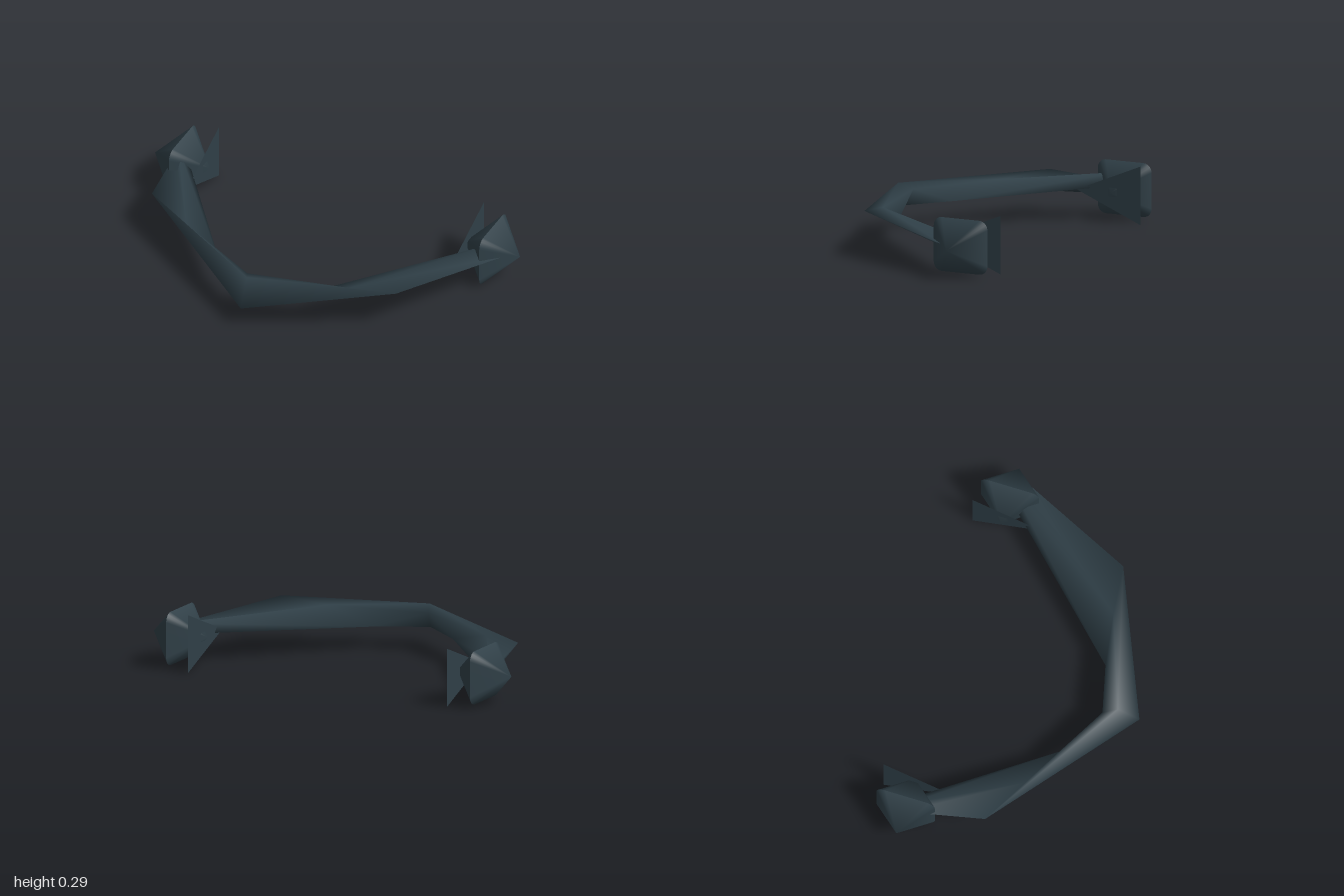
import * as THREE from 'three';

const darkSlate = new THREE.MeshStandardMaterial({ color: 0x2f3f47, side: THREE.DoubleSide });
darkSlate.name = 'darkSlate';

function makeMesh(name, positions, indices) {
  const g = new THREE.BufferGeometry();
  g.setAttribute('position', new THREE.Float32BufferAttribute(positions, 3));
  g.setIndex(indices);
  g.computeVertexNormals();
  const mesh = new THREE.Mesh(g, darkSlate);
  mesh.name = name;
  return mesh;
}

// Twisting blade-like bar: each section lists outer, top, inner and bottom corners
function makeBar() {
  const sections = [
    [[-0.89, 0.17, -0.4], [-0.86, 0.228, -0.38], [-0.82, 0.17, -0.4], [-0.86, 0.115, -0.38]],
    [[-0.82, 0.215, 0], [-0.57, 0.195, 0.13], [-0.31, 0.115, 0.27], [-0.57, 0.15, 0.14]],
    [[-0.06, 0.115, 0.555], [-0.08, 0.23, 0.45], [-0.11, 0.2, 0.38], [-0.09, 0.115, 0.44]],
    [[0.64, 0.23, 0.25], [0.4, 0.205, 0.275], [0.16, 0.115, 0.31], [0.4, 0.155, 0.285]],
    [[0.95, 0.165, -0.37], [0.88, 0.2, -0.4], [0.84, 0.15, -0.4], [0.88, 0.12, -0.4]],
  ];
  const n = 4, idx = [];
  for (let i = 0; i < sections.length - 1; i++) {
    for (let k = 0; k < n; k++) {
      const a = i * n + k, d = i * n + (k + 1) % n, b = a + n, c = d + n;
      if (i < 2) idx.push(a, b, c, a, c, d);
      else idx.push(a, b, d, b, c, d);
    }
  }
  // End caps, hidden inside the end knobs
  const e = (sections.length - 1) * n;
  idx.push(0, 1, 2, 0, 2, 3, e, e + 2, e + 1, e, e + 3, e + 2);
  return makeMesh('twistedBar', sections.flat(2), idx);
}

// Half of an end knob: a pyramid along x on a rounded square
function makeKnobHalf(dir) {
  const hy = 0.135, hz = 0.15, r = 0.045, steps = 5;
  const pos = [dir * 0.15, 0, 0], idx = [];
  for (let q = 0; q < 4; q++) {
    const sy = q === 0 || q === 3 ? 1 : -1, sz = q > 1 ? -1 : 1;
    for (let j = 0; j <= steps; j++) {
      // Runs from the +y side towards +z, then -y, then -z
      const t = (q + j / steps) * Math.PI / 2;
      pos.push(0, sy * (hy - r) + Math.cos(t) * r, sz * (hz - r) + Math.sin(t) * r);
    }
  }
  const count = 4 * (steps + 1);
  for (let i = 0; i < count; i++) {
    const a = 1 + i, b = 1 + (i + 1) % count;
    if (dir > 0) idx.push(0, a, b);
    else idx.push(0, b, a);
  }
  return makeMesh(dir > 0 ? 'knobLeftFace' : 'knobRightFace', pos, idx);
}

export function createModel() {
  const model = new THREE.Group();
  model.name = 'curvedHandle';
  model.add(makeBar());
  for (const side of [-1, 1]) {
    const label = side > 0 ? 'left' : 'right';

    // Faceted knob at the end of the bar
    const knob = new THREE.Group();
    knob.name = label + 'Knob';
    knob.add(makeKnobHalf(1), makeKnobHalf(-1));
    knob.position.set(side * 0.85, 0.15, -0.4);
    model.add(knob);

    // Thin upright triangular fin beside the knob
    const x = side * 0.725;
    model.add(makeMesh(label + 'Fin',
      [x, 0, -0.555, x, 0.293, -0.555, x, 0.147, -0.2], [0, 1, 2]));
  }
  return model;
}
